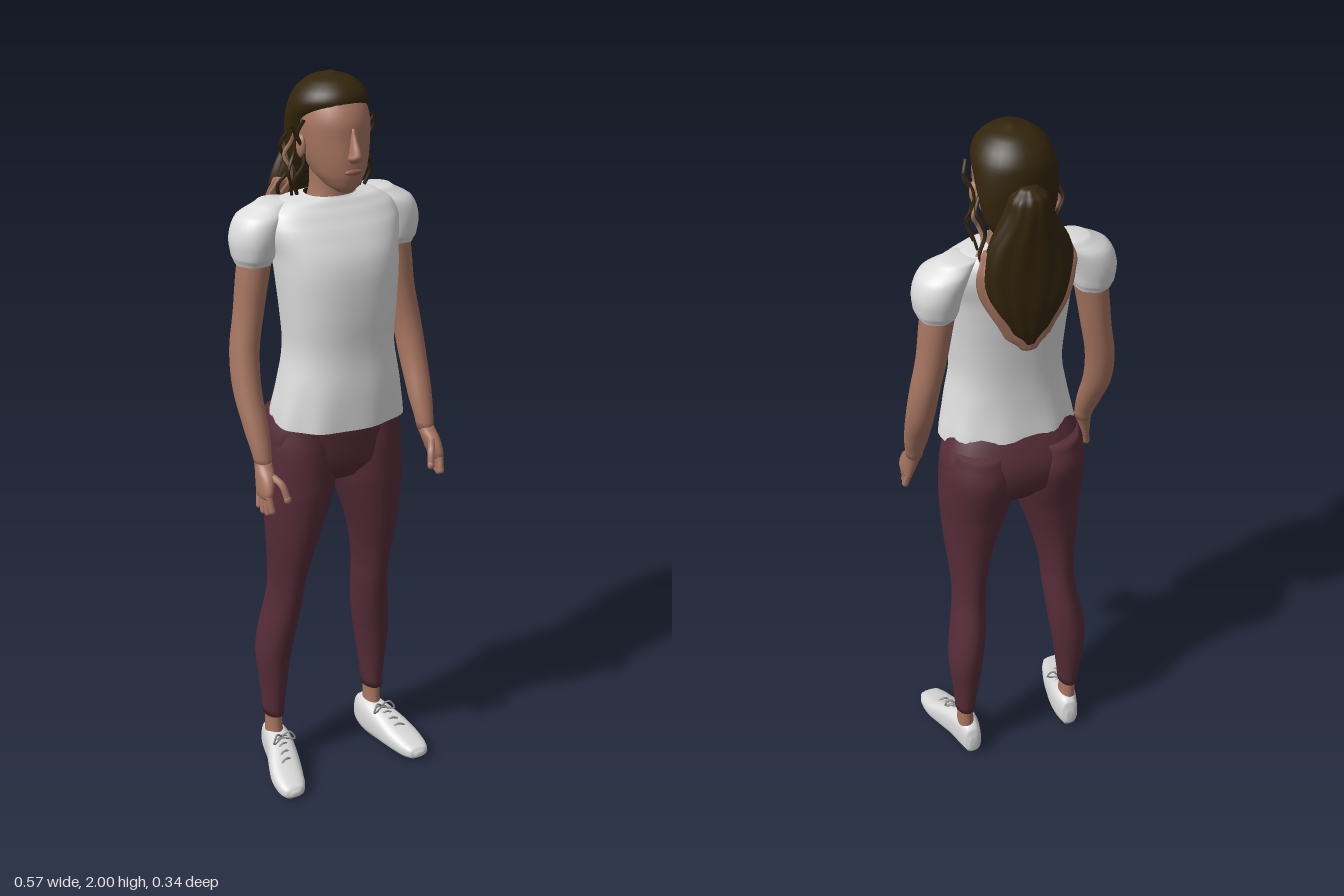
import * as THREE from 'three';

const mat = (name, color, side = THREE.FrontSide) => {
  const m = new THREE.MeshStandardMaterial({ color, side });
  m.name = name;
  return m;
};

// Catmull-Rom interpolation of one column of the section table
const spline = (a, b, c, d, t) =>
  0.5 * (2 * b + (c - a) * t + (2 * a - 5 * b + 4 * c - d) * t * t + (3 * b - a - 3 * c + d) * t * t * t);

// Smooth skin over sections [t, u0, u1, v0, v1], t ascending.
// axis 'y': t = y, u = x, v = z.  axis 'z': t = z, u = y, v = x.
function loft(sections, { axis = 'y', n = 2, seg = 28, steps = 4, caps = [true, true], ripple = () => 1 } = {}) {
  const rows = [];
  const at = (i) => sections[Math.min(Math.max(i, 0), sections.length - 1)];
  for (let i = 0; i < sections.length - 1; i++)
    for (let k = 0; k < steps; k++)
      rows.push(at(i).map((_, c) => c === 0
        ? at(i)[0] + (at(i + 1)[0] - at(i)[0]) * k / steps
        : spline(at(i - 1)[c], at(i)[c], at(i + 1)[c], at(i + 2)[c], k / steps)));
  rows.push(at(sections.length));

  const pos = [], index = [];
  const push = (t, u, v) => (axis === 'y' ? pos.push(u, t, v) : pos.push(v, u, t));
  const round = (w) => Math.sign(w) * Math.abs(w) ** (2 / n);
  for (const [t, u0, u1, v0, v1] of rows)
    for (let j = 0; j < seg; j++) {
      const a = j / seg * Math.PI * 2, r = ripple(a, t) / 2;
      push(t, (u0 + u1) / 2 + (u1 - u0) * r * round(Math.cos(a)), (v0 + v1) / 2 + (v1 - v0) * r * round(Math.sin(a)));
    }
  for (let i = 0; i < rows.length - 1; i++)
    for (let j = 0; j < seg; j++) {
      const a = i * seg + j, b = i * seg + (j + 1) % seg;
      index.push(a, a + seg, b, b, a + seg, b + seg);
    }
  [rows[0], rows[rows.length - 1]].forEach(([t, u0, u1, v0, v1], end) => {
    if (!caps[end]) return;
    const c = pos.length / 3, base = end * (rows.length - 1) * seg;
    push(t, (u0 + u1) / 2, (v0 + v1) / 2);
    for (let j = 0; j < seg; j++) {
      const a = base + j, b = base + (j + 1) % seg;
      index.push(c, end ? b : a, end ? a : b);
    }
  });
  const g = new THREE.BufferGeometry();
  g.setAttribute('position', new THREE.Float32BufferAttribute(pos, 3));
  g.setIndex(index);
  g.computeVertexNormals();
  return g;
}

// Symmetric section [y, half width, back z, front z]
const sym = (list) => list.map(([y, w, z0, z1]) => [y, -w, w, z0, z1]);

function mirrored(geo) {
  const g = geo.clone().scale(-1, 1, 1);
  const ix = g.index.array;
  for (let i = 0; i < ix.length; i += 3) [ix[i], ix[i + 1]] = [ix[i + 1], ix[i]];
  g.computeVertexNormals();
  return g;
}

function capsule(a, b, r) {
  const p = new THREE.Vector3(...a), q = new THREE.Vector3(...b), d = q.clone().sub(p);
  const g = new THREE.CapsuleGeometry(r, d.length(), 4, 10);
  g.applyQuaternion(new THREE.Quaternion().setFromUnitVectors(new THREE.Vector3(0, 1, 0), d.normalize()));
  return g.translate(...p.add(q).multiplyScalar(0.5).toArray());
}

const tube = (points, r) => new THREE.TubeGeometry(
  new THREE.CatmullRomCurve3(points.map((p) => new THREE.Vector3(...p))), 20, r, 6);
const ball = (x, y, z, rx, ry, rz) => new THREE.SphereGeometry(1, 16, 12).scale(rx, ry, rz).translate(x, y, z);

export function createModel() {
  const model = new THREE.Group();
  model.name = 'woman';
  const skin = mat('skin', 0xa67460);
  const lip = mat('lips', 0x925c50);
  const hair = mat('hair', 0x33250c);
  const cloth = mat('shirt white', 0xdcdcdc, THREE.DoubleSide);
  const purple = mat('leggings plum', 0x562c38);
  const shoe = mat('shoe white', 0xdadada);
  const lace = mat('lace grey', 0x8c8c8c);

  const add = (name, geo, m) => {
    const mesh = new THREE.Mesh(geo, m);
    mesh.name = name;
    model.add(mesh);
  };
  const both = (name, geo, m) => {
    add(name + 'Left', geo, m);
    add(name + 'Right', mirrored(geo), m);
  };

  // Leggings
  both('leg', loft([
    [0.16, 0.135, 0.19, -0.095, -0.015], [0.25, 0.125, 0.197, -0.107, -0.008], [0.36, 0.11, 0.207, -0.12, 0.003],
    [0.45, 0.098, 0.197, -0.117, 0.02], [0.55, 0.09, 0.181, -0.1, 0.04], [0.62, 0.085, 0.179, -0.095, 0.057],
    [0.75, 0.056, 0.19, -0.098, 0.09], [0.88, 0.014, 0.199, -0.112, 0.108], [0.95, 0.0, 0.201, -0.13, 0.11],
    [1.03, 0.0, 0.198, -0.144, 0.108], [1.1, 0.02, 0.18, -0.125, 0.1]]), purple);
  add('pelvis', loft(sym([[0.925, 0.09, -0.09, 0.075], [0.97, 0.185, -0.125, 0.105], [1.04, 0.198, -0.138, 0.112],
    [1.1, 0.182, -0.12, 0.112], [1.2, 0.14, -0.07, 0.1]]), { n: 2.3 }), purple);

  // Shirt with soft folds at the hem
  const folds = (a, y) => 1 + 0.02 * Math.sin(9 * a + 1) * Math.max(0, (1.25 - y) / 0.15);
  add('shirtBody', loft(sym([[1.1, 0.183, -0.108, 0.163], [1.2, 0.166, -0.092, 0.16], [1.3, 0.149, -0.085, 0.15],
    [1.4, 0.155, -0.09, 0.152], [1.5, 0.164, -0.1, 0.148], [1.56, 0.17, -0.106, 0.134], [1.62, 0.186, -0.11, 0.1],
    [1.66, 0.176, -0.103, 0.07], [1.685, 0.135, -0.088, 0.05], [1.695, 0.068, -0.07, 0.042]]),
  { n: 2.3, seg: 56, caps: [false, false], ripple: folds }), cloth);
  both('sleeve', loft([[1.53, 0.16, 0.255, -0.09, 0.016], [1.55, 0.152, 0.263, -0.1, 0.028], [1.6, 0.14, 0.267, -0.11, 0.036],
    [1.65, 0.12, 0.247, -0.106, 0.03], [1.685, 0.1, 0.19, -0.08, 0.0]],
  { caps: [false, true], ripple: (a, y) => 1 + 0.03 * Math.sin(7 * a) * Math.max(0, (1.6 - y) / 0.07) }), cloth);

  // Arms and hands
  both('arm', loft([[1.02, 0.223, 0.268, 0.052, 0.103], [1.1, 0.215, 0.279, 0.012, 0.08], [1.2, 0.213, 0.286, -0.043, 0.042],
    [1.3, 0.204, 0.281, -0.07, 0.016], [1.4, 0.185, 0.264, -0.08, 0.008], [1.5, 0.167, 0.253, -0.085, 0.01],
    [1.6, 0.15, 0.24, -0.085, 0.01]]), skin);
  both('palm', loft([[0.945, 0.246, 0.274, 0.075, 0.142], [0.965, 0.238, 0.276, 0.07, 0.145], [1.0, 0.228, 0.273, 0.06, 0.13],
    [1.03, 0.223, 0.268, 0.05, 0.1]]), skin);
  [0, 1, 2, 3].forEach((i) => {
    const z = 0.083 + i * 0.017, drop = [0.915, 0.905, 0.905, 0.915][i];
    both('finger' + (i + 1), capsule([0.26, 0.955, z], [0.268 - i * 0.004, drop, z + 0.012], 0.009), skin);
  });
  both('thumb', tube([[0.24, 1.0, 0.12], [0.225, 0.98, 0.145], [0.217, 0.945, 0.158]], 0.01), skin);
  both('thumbTip', ball(0.217, 0.945, 0.158, 0.01, 0.012, 0.01), skin);

  // Ankles, shoes and laces
  both('ankle', loft([[0.06, 0.132, 0.188, -0.09, -0.012], [0.12, 0.14, 0.184, -0.088, -0.02], [0.2, 0.14, 0.185, -0.09, -0.02]]), skin);
  both('shoe', loft([[-0.11, 0.02, 0.065, 0.142, 0.168], [-0.1, 0.005, 0.1, 0.13, 0.18], [-0.06, 0, 0.112, 0.122, 0.192],
    [-0.02, 0, 0.108, 0.122, 0.203], [0.03, 0, 0.092, 0.13, 0.222], [0.08, 0, 0.068, 0.142, 0.238],
    [0.13, 0, 0.05, 0.158, 0.24], [0.155, 0.005, 0.04, 0.172, 0.232], [0.165, 0.014, 0.028, 0.19, 0.215]],
  { axis: 'z', n: 2.7 }), shoe);
  for (let i = 0; i < 4; i++) {
    const z = -0.005 + i * 0.023, y = 0.107 - i * 0.01, x = 0.164 + i * 0.007;
    both('lace' + (i + 1), tube([[x - 0.025, y - 0.014, z], [x, y, z + 0.005], [x + 0.025, y - 0.014, z + 0.01]], 0.003), lace);
  }
  [-1, 1].forEach((s) => both(s < 0 ? 'bowInner' : 'bowOuter',
    tube([[0.165, 0.105, 0], [0.165 + s * 0.02, 0.122, 0.012], [0.165 + s * 0.034, 0.1, 0.02], [0.165, 0.103, 0.004]], 0.0028), lace));

  // Neck, head and face
  add('neck', loft(sym([[1.64, 0.075, -0.075, 0.045], [1.69, 0.058, -0.068, 0.042], [1.73, 0.052, -0.065, 0.042], [1.8, 0.055, -0.065, 0.05]])), skin);
  add('head', loft(sym([[1.715, 0.022, 0.04, 0.09], [1.73, 0.043, 0.0, 0.103], [1.76, 0.065, -0.05, 0.112], [1.8, 0.079, -0.08, 0.114],
    [1.85, 0.087, -0.095, 0.111], [1.9, 0.087, -0.1, 0.107], [1.95, 0.07, -0.085, 0.078], [1.98, 0.03, -0.04, 0.03]])), skin);
  add('nose', loft(sym([[1.796, 0.01, 0.1, 0.124], [1.808, 0.018, 0.095, 0.139], [1.82, 0.014, 0.095, 0.142],
    [1.85, 0.009, 0.095, 0.126], [1.88, 0.006, 0.095, 0.112]])), skin);
  add('lips', ball(0, 1.772, 0.111, 0.024, 0.008, 0.008), lip);
  both('ear', ball(0.09, 1.825, 0.005, 0.011, 0.03, 0.018), skin);

  // Hair cap and long gathered hair at the back
  const locks = (a, y) => 1 + 0.035 * Math.sin(11 * a + 9 * y) + 0.025 * Math.sin(5 * a - 38 * y);
  add('hairCap', loft(sym([[1.74, 0.065, -0.105, -0.03], [1.78, 0.088, -0.114, -0.02], [1.84, 0.1, -0.12, 0.0], [1.89, 0.103, -0.122, 0.04],
    [1.93, 0.1, -0.118, 0.085], [1.96, 0.084, -0.1, 0.08], [1.985, 0.053, -0.068, 0.05], [2.0, 0.008, -0.018, 0.002]])), hair);
  add('ponytail', loft(sym([[1.46, 0.015, -0.148, -0.125], [1.5, 0.05, -0.158, -0.112], [1.58, 0.088, -0.167, -0.105], [1.66, 0.112, -0.167, -0.09],
    [1.74, 0.1, -0.17, -0.07], [1.82, 0.062, -0.174, -0.08], [1.87, 0.045, -0.168, -0.085], [1.89, 0.02, -0.14, -0.1]]),
  { seg: 48, ripple: locks }), hair);

  // Pale ends fringing the hair
  add('hairEnds', loft(sym([[1.44, 0.02, -0.143, -0.125], [1.48, 0.06, -0.146, -0.115], [1.57, 0.105, -0.145, -0.112], [1.66, 0.13, -0.137, -0.1],
    [1.72, 0.11, -0.12, -0.08]]), { seg: 48, ripple: locks }), skin);

  // Loose curls beside the face
  [[0.098, 0.03, 1.9, 1.7], [0.106, 0.0, 1.88, 1.68], [0.1, -0.03, 1.86, 1.69], [0.1, -0.06, 1.85, 1.67]].forEach(([x, z, top, low], i) => {
    const pts = [0, 1, 2, 3, 4, 5].map((k) => [x + 0.012 * Math.sin(k * 1.9 + i * 2), top + (low - top) * k / 5, z - 0.006 * k + 0.008 * Math.cos(k * 2)]);
    both('curl' + (i + 1), tube(pts, i === 1 ? 0.004 : 0.005), i === 2 ? skin : hair);
  });
  return model;
}
